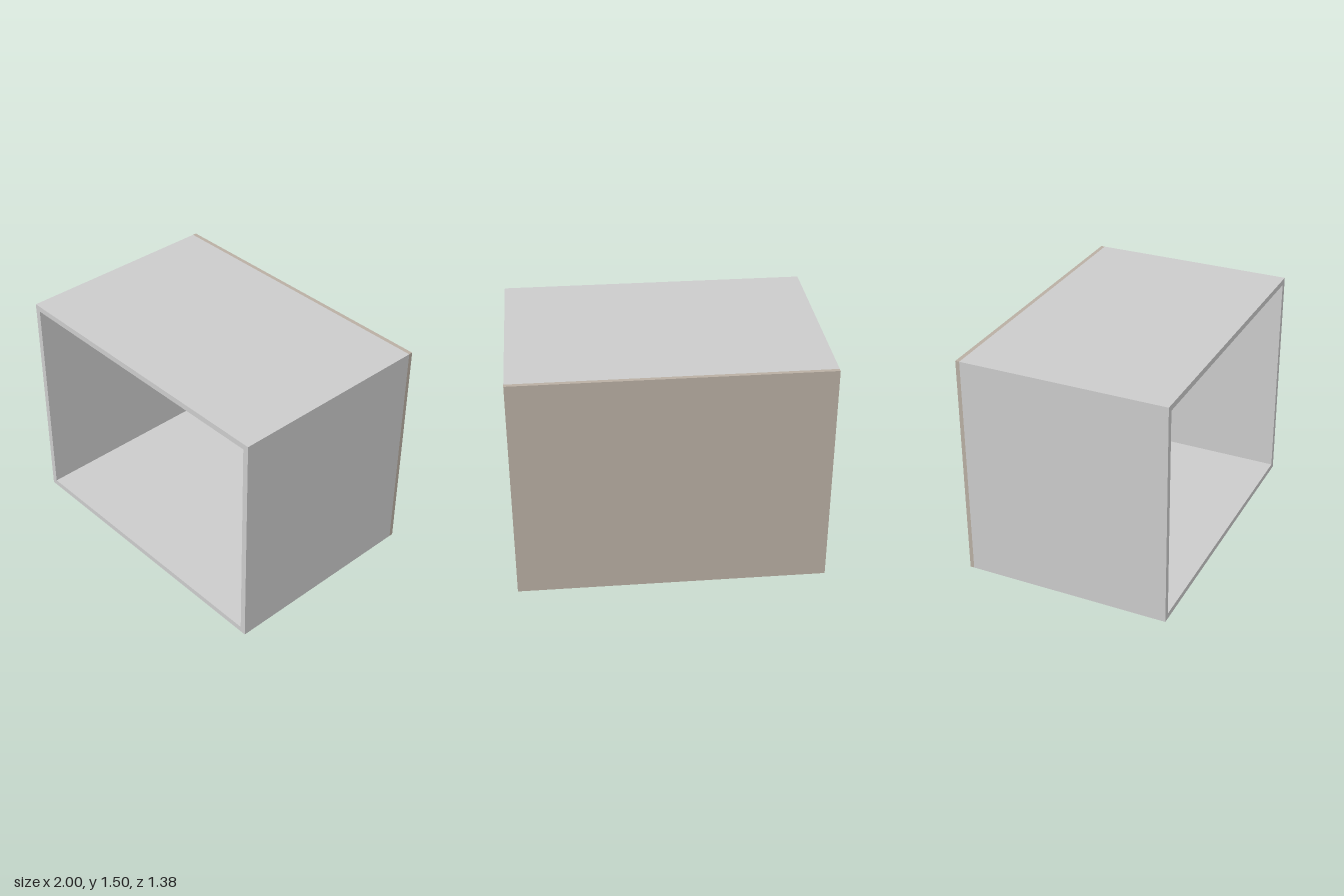
import * as THREE from 'three';

const GREY = 0xcccccc, BROWN = 0x9b857a, BACK = 0xb9afa3;
const PURPLE = 0xa85cb0, BLUE = 0x58a5ca, YELLOW = 0xcba612;

export function createModel() {
  const group = new THREE.Group();
  const material = (color) => new THREE.MeshStandardMaterial({ color });

  // Box given by its lower and upper corners
  function box(name, color, [x0, y0, z0], [x1, y1, z1]) {
    const mesh = new THREE.Mesh(new THREE.BoxGeometry(x1 - x0, y1 - y0, z1 - z0), material(color));
    mesh.position.set((x0 + x1) / 2, (y0 + y1) / 2, (z0 + z1) / 2);
    mesh.name = name;
    group.add(mesh);
  }

  const W = 1, H = 1.5, D = 0.69, T = 0.038, backFront = -0.663;

  // Outer shell: a rectangular tube, open at the front
  const outline = new THREE.Shape([[-W, 0], [W, 0], [W, H], [-W, H]].map((p) => new THREE.Vector2(...p)));
  outline.holes.push(new THREE.Path(
    [[-W + T, T], [-W + T, H - T], [W - T, H - T], [W - T, T]].map((p) => new THREE.Vector2(...p))));
  const shell = new THREE.Mesh(
    new THREE.ExtrudeGeometry(outline, { depth: D - backFront, bevelEnabled: false }), material(GREY));
  shell.position.z = backFront;
  shell.name = 'shell';
  group.add(shell);

  // Panel closing the back
  box('backPanel', BACK, [-W, 0, -D], [W, H, backFront]);

  // Two stepped overhead lockers, each row split into coloured panels: [x0, x1, color]
  const rows = [
    { name: 'upperLocker', y: [1.29, 1.465], front: 0.445, panels: [
      [-0.965, -0.7, GREY], [-0.7, -0.255, BROWN],
      [0.25, 0.55, BROWN], [0.55, 0.85, YELLOW], [0.85, 0.965, BROWN]] },
    { name: 'lowerLocker', y: [1.16, 1.29], front: 0.1, panels: [
      [-0.965, -0.7, PURPLE], [-0.7, -0.4, BLUE], [-0.4, -0.255, BROWN],
      [0.25, 0.55, BLUE], [0.55, 0.85, YELLOW], [0.85, 0.965, BROWN]] },
  ];
  for (const { name, y, front, panels } of rows) {
    for (const [x0, x1, color] of panels) {
      box(name, color, [x0, y[0], backFront - 0.005], [x1, y[1], front]);
    }
  }

  return group;
}
